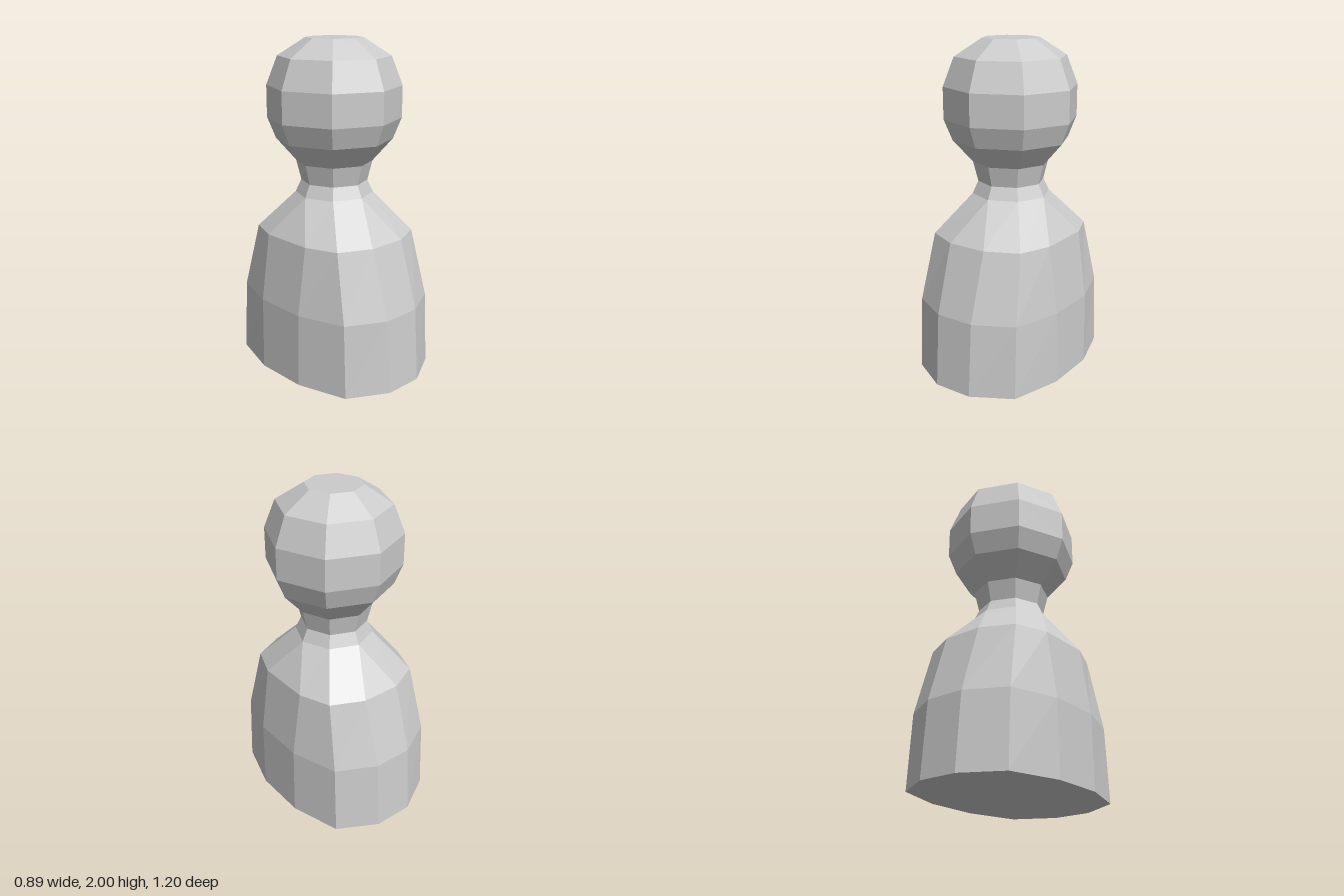
import * as THREE from 'three';

const material = new THREE.MeshStandardMaterial({ color: 0xcccccc, flatShading: true });

// Twelve-sided ring from one quadrant: front point, corner point, side point
function ring(y, [fx, fz], [cx, cz], [sx, sz]) {
  const quarter = [[fx, fz], [cx, cz], [sx, sz]];
  const back = quarter.map(([x, z]) => [x, -z]).reverse();
  const half = [...quarter, ...back];
  const mirrored = half.map(([x, z]) => [-x, z]).reverse();
  return [...half, ...mirrored].map(([x, z]) => new THREE.Vector3(x, y, z));
}

// Loft upward through the rings, with a flat base
function loft(rings) {
  const positions = [];
  const tri = (a, b, c) => {
    if (a.equals(b) || b.equals(c) || c.equals(a)) return;
    for (const p of [a, b, c]) positions.push(p.x, p.y, p.z);
  };
  const n = rings[0].length;
  const centre = new THREE.Vector3(0, rings[0][0].y, 0);
  for (let j = 0; j < n; j++) {
    const k = (j + 1) % n;
    tri(centre, rings[0][k], rings[0][j]);
    for (let i = 0; i < rings.length - 1; i++) {
      const low = rings[i], high = rings[i + 1];
      tri(low[j], low[k], high[k]);
      tri(low[j], high[k], high[j]);
    }
  }
  const geometry = new THREE.BufferGeometry();
  geometry.setAttribute('position', new THREE.Float32BufferAttribute(positions, 3));
  geometry.computeVertexNormals();
  return geometry;
}

export function createModel() {
  const group = new THREE.Group();
  group.name = 'pawnFigure';

  // Oval body; paired points merge at the collar so twelve sides become eight
  const collarY = 1.08, collarR = 0.235, d = collarR * Math.SQRT1_2;
  const body = new THREE.Mesh(loft([
    ring(0, [0.12, 0.6], [0.355, 0.47], [0.447, 0.165]),
    ring(0.445, [0.12, 0.57], [0.35, 0.45], [0.442, 0.165]),
    ring(0.85, [0.12, 0.445], [0.312, 0.355], [0.385, 0.165]),
    ring(collarY, [0, collarR], [d, d], [collarR, 0]),
  ]), material);
  body.name = 'body';
  group.add(body);

  // Eight-sided neck and head turned from radius/height profiles
  const turned = (name, profile) => {
    const points = profile.map(([r, y]) => new THREE.Vector2(r, y));
    const mesh = new THREE.Mesh(new THREE.LatheGeometry(points, 8), material);
    mesh.name = name;
    group.add(mesh);
  };
  turned('neck', [[collarR, collarY], [0.2, 1.155], [0.23, 1.275]]);
  turned('head', [
    [0.23, 1.275], [0.35, 1.41], [0.4, 1.535], [0.4, 1.725],
    [0.333, 1.895], [0.168, 2], [0, 2],
  ]);

  return group;
}
